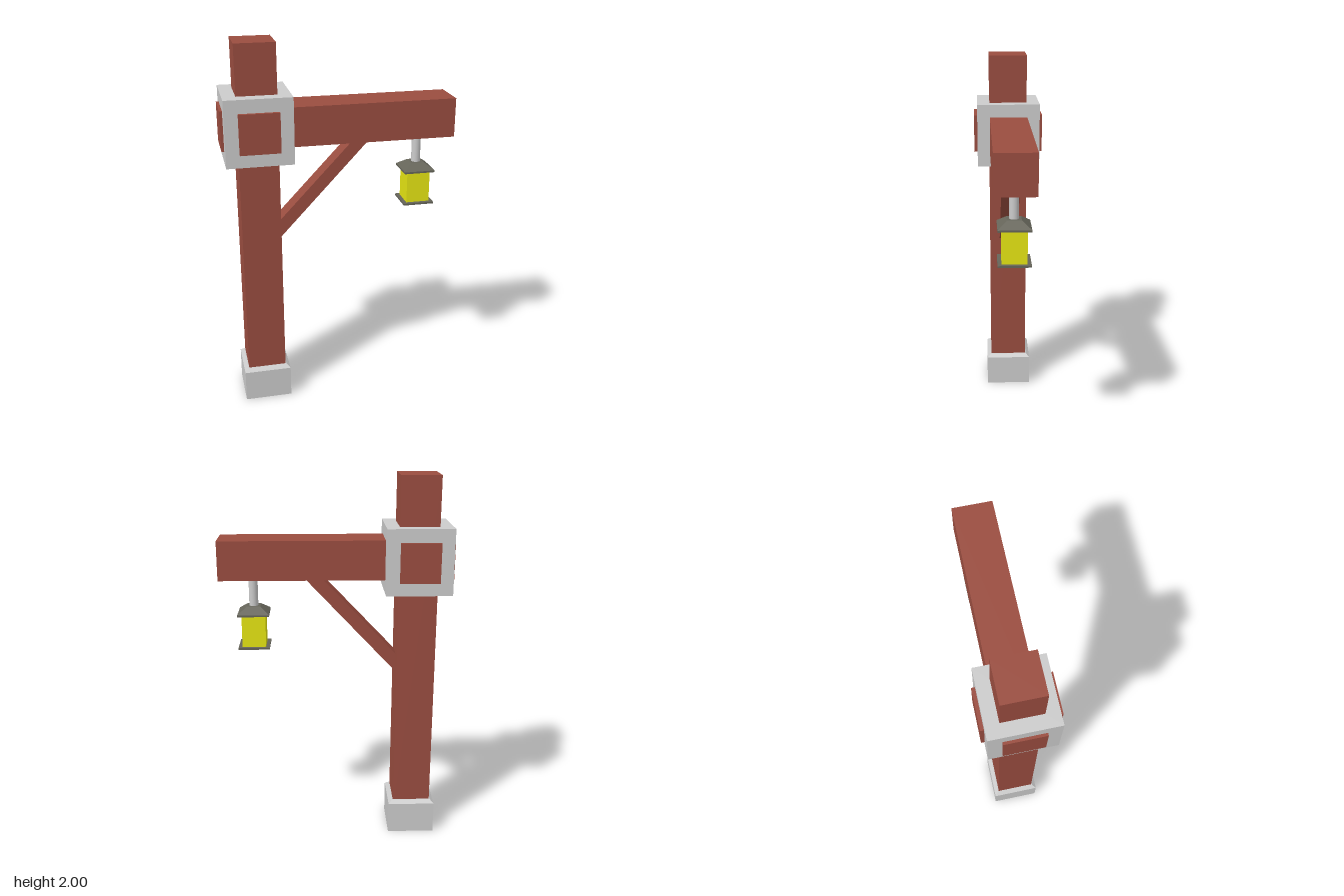
import * as THREE from 'three';

const material = (color, flatShading = true) => new THREE.MeshStandardMaterial({ color, flatShading });

export function createModel() {
  const model = new THREE.Group();
  const wood = material(0x9a4d40);
  const stone = material(0xcccccc);
  const darkMetal = material(0x66655a);
  const glass = material(0xe6e613);
  const postX = -0.425;
  const lampX = 0.437;
  const timber = 0.206;

  const add = (parent, name, geometry, mat, x, y, z = 0) => {
    const mesh = new THREE.Mesh(geometry, mat);
    mesh.name = name;
    mesh.position.set(x, y, z);
    parent.add(mesh);
    return mesh;
  };

  // Square block tapering from bottom half-width to top half-width
  const frustum = (top, bottom, height) =>
    new THREE.CylinderGeometry(top * Math.SQRT2, bottom * Math.SQRT2, height, 4).rotateY(Math.PI / 4);

  // Stone foot with a bevelled top
  add(model, 'foot', new THREE.BoxGeometry(0.256, 0.175, 0.256), stone, postX, 0.0875);
  add(model, 'footBevel', frustum(0.108, 0.128, 0.018), stone, postX, 0.184);

  // Timbers
  add(model, 'post', new THREE.BoxGeometry(timber, 1.9, timber), wood, postX, 1.05);
  add(model, 'beam', new THREE.BoxGeometry(1.222, timber, timber), wood, 0, 1.572);
  add(model, 'crossStub', new THREE.BoxGeometry(timber, timber, 0.38), wood, postX, 1.572);

  // Stone joint block around the crossing timbers
  add(model, 'jointBlock', new THREE.BoxGeometry(0.344, 0.344, 0.344), stone, postX, 1.572);

  // Diagonal brace, its ends sunk into post and beam
  const braceShape = new THREE.Shape([
    [-0.341, 0.93], [0.184, 1.49], [0.094, 1.49], [-0.341, 1.03],
  ].map(([x, y]) => new THREE.Vector2(x, y)));
  add(model, 'brace', new THREE.ExtrudeGeometry(braceShape, { depth: 0.1, bevelEnabled: false }), wood, 0, 0, -0.05);

  // Hanging lantern
  const lantern = new THREE.Group();
  lantern.name = 'lantern';
  lantern.position.x = lampX;
  model.add(lantern);
  add(lantern, 'hangerRod', new THREE.CylinderGeometry(0.024, 0.024, 0.18, 16), material(0xcccccc, false), 0, 1.395);
  add(lantern, 'lanternRoof', frustum(0.036, 0.083, 0.035), darkMetal, 0, 1.2975);
  add(lantern, 'lanternRoofRim', new THREE.BoxGeometry(0.166, 0.01, 0.166), darkMetal, 0, 1.275);
  add(lantern, 'lanternGlass', new THREE.BoxGeometry(0.126, 0.172, 0.126), glass, 0, 1.186);
  add(lantern, 'lanternBase', new THREE.BoxGeometry(0.166, 0.01, 0.166), darkMetal, 0, 1.095);

  return model;
}
